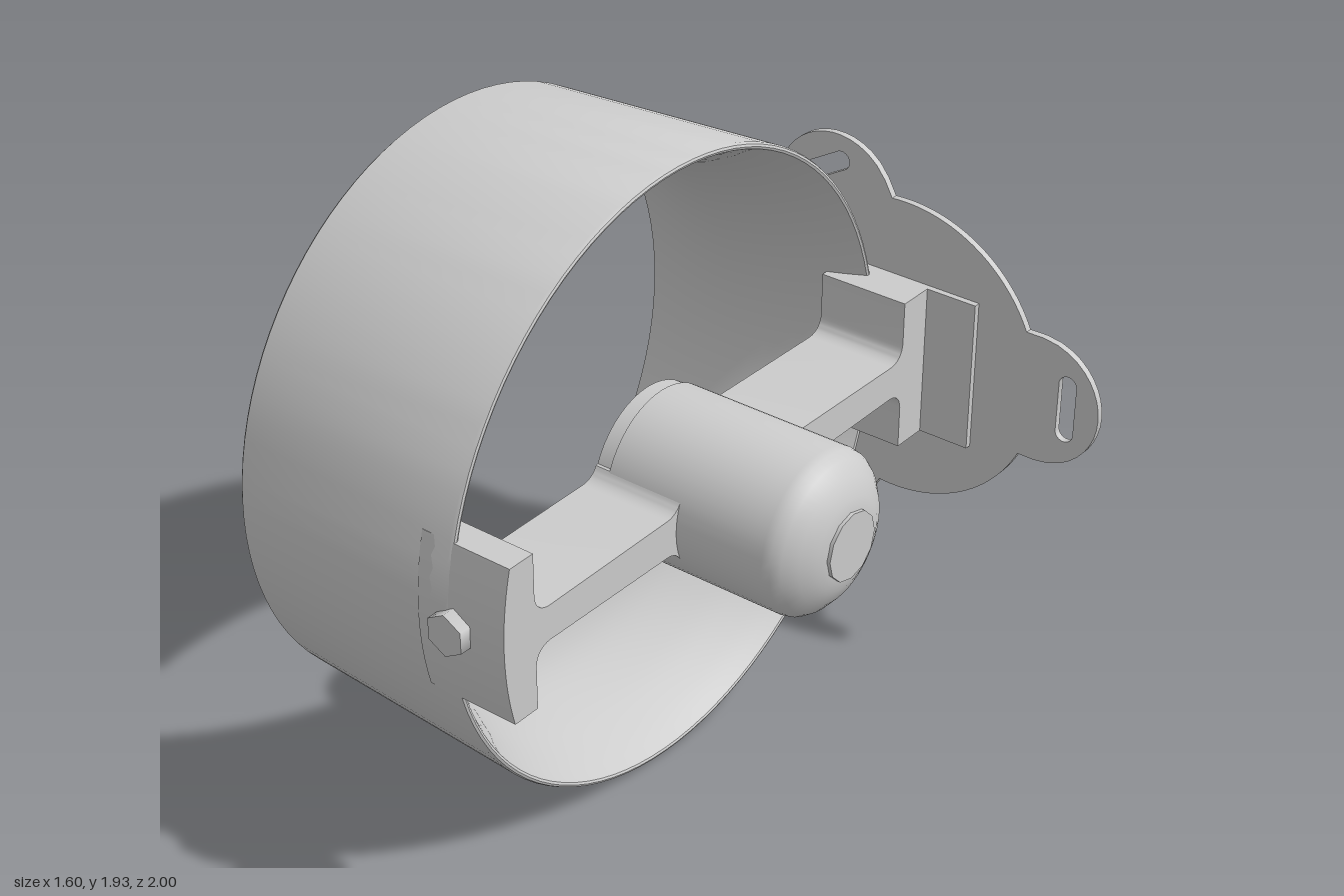
import * as THREE from 'three';
import { toCreasedNormals } from 'three/addons/utils/BufferGeometryUtils.js';

const CY = 0.967; // height of the duct axis

export function createModel() {
  const model = new THREE.Group();
  const material = new THREE.MeshStandardMaterial({ color: 0xcccccc });

  const add = (name, geometry, x = 0, y = 0, z = 0) => {
    const mesh = new THREE.Mesh(geometry, material);
    mesh.name = name;
    mesh.position.set(x, y, z);
    model.add(mesh);
    return mesh;
  };
  // revolve [radius, x] points around the x axis
  const revolve = (points, segments) => toCreasedNormals(
    new THREE.LatheGeometry(points.map(([r, x]) => new THREE.Vector2(r, x)), segments)
      .rotateZ(-Math.PI / 2), 0.6);

  // duct ring: tapered outside, curved throat inside
  const inner = new THREE.SplineCurve([
    [0.948, 0.01], [0.905, -0.08], [0.855, -0.22], [0.82, -0.4],
    [0.832, -0.56], [0.868, -0.7], [0.898, -0.795],
  ].map(([r, x]) => new THREE.Vector2(r, x))).getPoints(24).map((p) => [p.x, p.y]);
  add('ductRing', revolve([
    [0.898, -0.795], [0.908, -0.8], [0.918, -0.8], [0.927, -0.79],
    [0.966, 0], [0.962, 0.01], [0.955, 0.013], ...inner,
  ], 96), 0, CY);

  // motor hub with rounded nose, rear collar and end cap
  add('motorHub', revolve([
    [0, -0.05], [0.25, -0.05], [0.25, 0.49], [0.245, 0.515], [0.228, 0.54],
    [0.19, 0.572], [0.14, 0.597], [0.1, 0.605], [0, 0.605],
  ], 48), 0, CY);
  add('hubCollar', revolve([[0, -0.1], [0.243, -0.1], [0.243, -0.04], [0, -0.04]], 48), 0, CY);
  add('noseCap', revolve([[0, 0.59], [0.105, 0.59], [0.105, 0.615], [0, 0.615]], 12), 0, CY);

  // strut with flared root and end block, extruded along x
  const outerR = 0.963, blockH = 0.247;
  const a = Math.asin(blockH / outerR);
  const strut = new THREE.Shape();
  strut.moveTo(0.2, -0.105);
  strut.lineTo(0.23, -0.095);
  strut.quadraticCurveTo(0.25, -0.06, 0.29, -0.06);
  strut.lineTo(0.785, -0.055);
  strut.quadraticCurveTo(0.835, -0.06, 0.84, -0.11);
  strut.lineTo(0.84, -blockH);
  strut.absarc(0, 0, outerR, -a, a, false);
  strut.lineTo(0.84, blockH);
  strut.lineTo(0.84, 0.11);
  strut.quadraticCurveTo(0.835, 0.06, 0.785, 0.055);
  strut.lineTo(0.29, 0.06);
  strut.quadraticCurveTo(0.25, 0.06, 0.23, 0.095);
  strut.lineTo(0.2, 0.105);
  const strutGeometry = toCreasedNormals(
    new THREE.ExtrudeGeometry(strut, { depth: 0.3, bevelEnabled: false, curveSegments: 8 })
      .rotateY(Math.PI / 2), 0.5);
  add('backStrut', strutGeometry, -0.1, CY);
  add('frontStrut', strutGeometry, -0.1, CY).rotation.x = Math.PI;

  // hex bolt on the front block
  add('hexBolt', new THREE.CylinderGeometry(0.066, 0.066, 0.06, 6).rotateX(Math.PI / 2).toNonIndexed(),
    0.025, CY, 0.97);

  // spacers between back block and mounting plate
  add('mountBlock', new THREE.BoxGeometry(0.3, 2 * blockH, 0.07), 0.05, CY, -0.945);
  add('mountSpacer', new THREE.BoxGeometry(0.47, 2 * blockH, 0.022), 0.135, CY, -0.969);

  // three-lobed mounting plate with a slot in each lobe
  const lobeD = 0.5, lobeR = 0.21, points = [];
  for (let i = 0; i < 144; i++) {
    const t = (i / 144) * Math.PI * 2;
    const third = (Math.PI * 2) / 3;
    const phi = t - Math.round(t / third) * third; // angle from the nearest lobe
    const under = lobeR ** 2 - (lobeD * Math.sin(phi)) ** 2;
    const lobe = under > 0 ? lobeD * Math.cos(phi) + Math.sqrt(under) : 0;
    const r = Math.max(0.495, lobe);
    points.push(new THREE.Vector2(r * Math.cos(t), r * Math.sin(t)));
  }
  const plate = new THREE.Shape(points);
  for (let k = 0; k < 3; k++) {
    const angle = (k * Math.PI * 2) / 3;
    const slot = [];
    for (let i = 0; i < 20; i++) {
      const s = (i + 0.5) / 20 * Math.PI * 2;
      slot.push(new THREE.Vector2(0.6 + 0.03 * Math.cos(s),
        0.03 * Math.sin(s) + 0.08 * Math.sign(Math.sin(s)))
        .rotateAround(new THREE.Vector2(), angle));
    }
    plate.holes.push(new THREE.Path(slot));
  }
  add('mountingPlate', toCreasedNormals(
    new THREE.ExtrudeGeometry(plate, { depth: 0.022, bevelEnabled: false }), 0.5), 0.09, CY, -1);

  return model;
}
